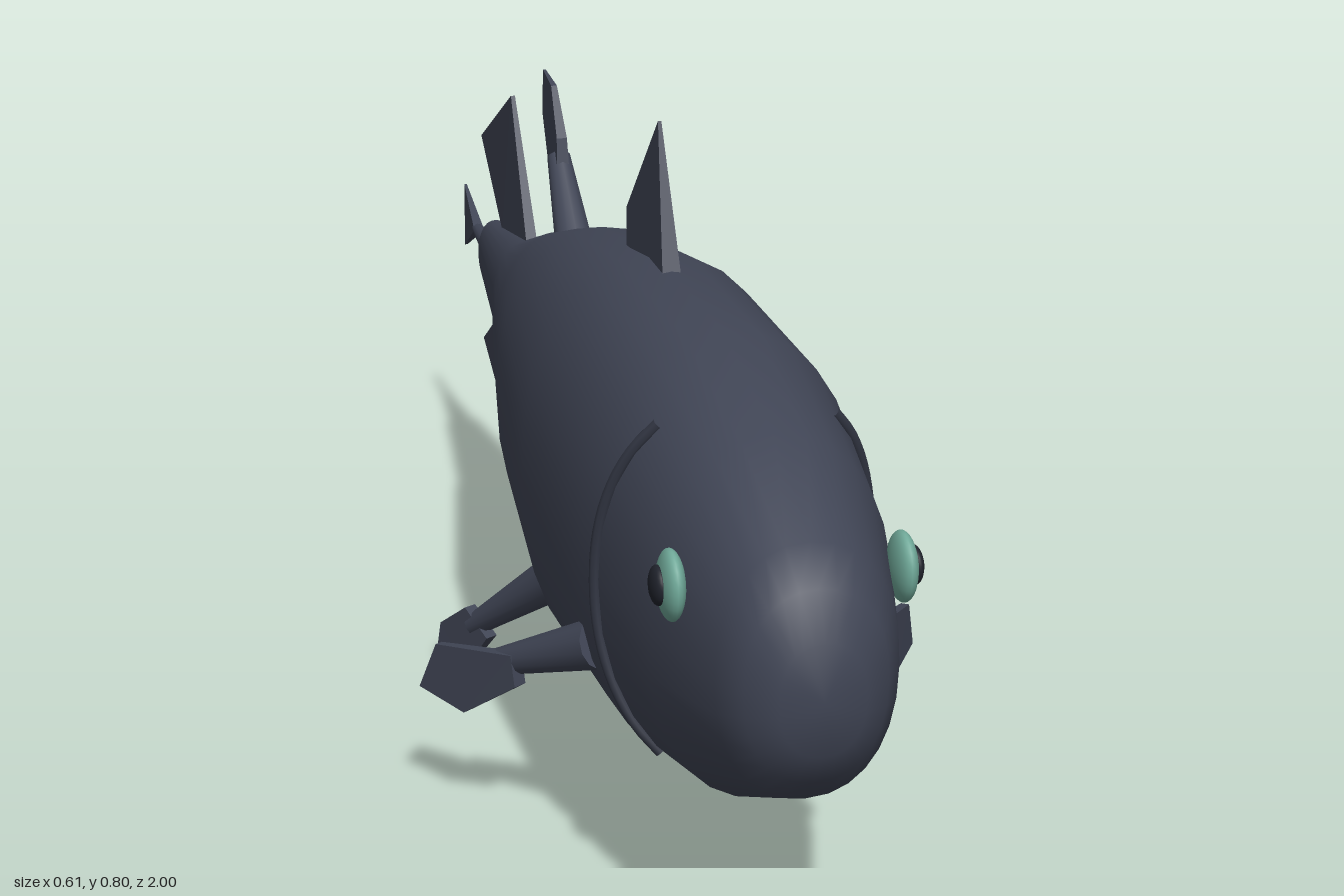
import * as THREE from 'three';

const skin = new THREE.MeshStandardMaterial({ color: 0x404555 });
skin.name = 'slateSkin';
const teal = new THREE.MeshStandardMaterial({ color: 0x6fa898 });
teal.name = 'tealIris';
const dark = new THREE.MeshStandardMaterial({ color: 0x20232c });
dark.name = 'darkPupil';
const groove = new THREE.MeshStandardMaterial({ color: 0x323643 });
groove.name = 'gillSlate';

// Body stations from nose to tail: z, top, bottom, half width
const STATIONS = [
  [0.992, 0.42, 0.3, 0.045], [0.967, 0.468, 0.262, 0.075], [0.935, 0.505, 0.23, 0.096],
  [0.8, 0.573, 0.17, 0.132], [0.6, 0.626, 0.13, 0.16], [0.3, 0.635, 0.115, 0.165],
  [0, 0.597, 0.162, 0.138], [-0.2, 0.545, 0.215, 0.105],
  [-0.46, 0.466, 0.288, 0.058], [-0.74, 0.428, 0.327, 0.027],
];
const SIDES = 28, POWER = 2 / 2.25;

// Half width of the body surface at a given length and height
function surfaceX(z, y) {
  let i = 0;
  while (i < STATIONS.length - 2 && STATIONS[i + 1][0] > z) i++;
  const a = STATIONS[i], b = STATIONS[i + 1], t = (a[0] - z) / (a[0] - b[0]);
  const [top, bottom, half] = [1, 2, 3].map(k => a[k] + (b[k] - a[k]) * t);
  const v = Math.min(1, Math.abs((y - (top + bottom) / 2) / ((top - bottom) / 2)));
  return half * Math.pow(1 - Math.pow(v, 2.25), 1 / 2.25);
}

function bodyGeometry() {
  const pos = [], idx = [];
  const soft = v => Math.sign(v) * Math.pow(Math.abs(v), POWER);
  const ring = ([z, top, bottom, half]) => {
    for (let j = 0; j < SIDES; j++) {
      const a = j / SIDES * Math.PI * 2;
      pos.push(half * soft(Math.cos(a)), (top + bottom) / 2 + (top - bottom) / 2 * soft(Math.sin(a)), z);
    }
  };
  STATIONS.forEach(ring);
  const last = STATIONS[STATIONS.length - 1], capStart = pos.length / 3;
  ring(last); // separate rim keeps the tail end crisp
  const nose = pos.length / 3;
  pos.push(0, 0.36, 0.997, 0, (last[1] + last[2]) / 2, last[0]);
  for (let j = 0; j < SIDES; j++) {
    const k = (j + 1) % SIDES;
    for (let i = 0; i < STATIONS.length - 1; i++) {
      const a = i * SIDES + j, b = i * SIDES + k, c = a + SIDES, d = b + SIDES;
      idx.push(a, c, b, b, c, d);
    }
    idx.push(nose, j, k, nose + 1, capStart + k, capStart + j);
  }
  const g = new THREE.BufferGeometry();
  g.setAttribute('position', new THREE.Float32BufferAttribute(pos, 3));
  g.setIndex(idx);
  g.computeVertexNormals();
  return g;
}

// Convex fin blade from [z, y, half thickness] points in an upright plane.
// x grows by slope for each unit the fin sweeps back from z0; side mirrors it.
function blade(name, points, side = 1, x0 = 0, z0 = 0, slope = 0) {
  const pts = points.slice();
  if (THREE.ShapeUtils.area(pts.map(p => new THREE.Vector2(p[0], p[1]))) > 0) pts.reverse();
  const n = pts.length, len = Math.hypot(1, slope), pos = [], idx = [];
  for (const face of [1, -1]) {
    for (const [z, y, h] of pts) {
      pos.push(side * (x0 + slope * (z0 - z) + face * h / len), y, z + face * h * slope / len);
    }
  }
  const tri = (a, b, c) => (side > 0 ? idx.push(a, b, c) : idx.push(a, c, b));
  for (let i = 1; i < n - 1; i++) {
    tri(0, i, i + 1);
    tri(n, n + i + 1, n + i);
  }
  for (let i = 0; i < n; i++) {
    const j = (i + 1) % n;
    tri(j, i, n + i);
    tri(j, n + i, n + j);
  }
  let g = new THREE.BufferGeometry();
  g.setAttribute('position', new THREE.Float32BufferAttribute(pos, 3));
  g.setIndex(idx);
  g = g.toNonIndexed();
  g.computeVertexNormals();
  const mesh = new THREE.Mesh(g, skin);
  mesh.name = name;
  return mesh;
}

// Tapered fleshy stalk between two points
function stalk(name, from, to, r0, r1) {
  const a = new THREE.Vector3(...from), b = new THREE.Vector3(...to), d = b.clone().sub(a);
  const mesh = new THREE.Mesh(new THREE.CylinderGeometry(r1, r0, d.length(), 12), skin);
  mesh.position.copy(a).add(b).multiplyScalar(0.5);
  mesh.quaternion.setFromUnitVectors(new THREE.Vector3(0, 1, 0), d.normalize());
  mesh.name = name;
  return mesh;
}

function ball(name, material, x, y, z, sx, sy, sz) {
  const mesh = new THREE.Mesh(new THREE.SphereGeometry(1, 20, 14), material);
  mesh.position.set(x, y, z);
  mesh.scale.set(sx, sy, sz);
  mesh.name = name;
  return mesh;
}

export function createModel() {
  const model = new THREE.Group();
  model.name = 'lobeFinnedFish';
  const body = new THREE.Mesh(bodyGeometry(), skin);
  body.name = 'body';
  model.add(body);

  // Fins on the centre line
  model.add(
    blade('firstDorsalFin', [[0.375, 0.61, 0.012], [0.305, 0.797, 0.002], [0.155, 0.66, 0.004], [0.19, 0.6, 0.012]]),
    stalk('secondDorsalStalk', [0, 0.52, -0.155], [0, 0.63, -0.265], 0.027, 0.016),
    blade('secondDorsalBlade', [[-0.235, 0.605, 0.009], [-0.245, 0.66, 0.007], [-0.295, 0.722, 0.004],
      [-0.36, 0.732, 0.002], [-0.36, 0.672, 0.003], [-0.3, 0.61, 0.007]]),
    stalk('analStalk', [0, 0.24, -0.155], [0, 0.132, -0.265], 0.027, 0.016),
    blade('analBlade', [[-0.24, 0.105, 0.007], [-0.28, 0.04, 0.004], [-0.36, 0.022, 0.002],
      [-0.36, 0.09, 0.003], [-0.305, 0.145, 0.007]]),
    blade('upperTailLobe', [[-0.455, 0.46, 0.008], [-0.59, 0.65, 0.003], [-0.835, 0.54, 0.003], [-0.64, 0.435, 0.008]]),
    blade('lowerTailLobe', [[-0.455, 0.292, 0.008], [-0.585, 0.105, 0.003], [-0.835, 0.215, 0.003], [-0.64, 0.315, 0.008]]),
    stalk('tailStalk', [0, 0.38, -0.72], [0, 0.376, -0.9], 0.022, 0.008),
    blade('tailTip', [[-0.88, 0.378, 0.008], [-1, 0.425, 0.002], [-1, 0.325, 0.002]]),
  );

  // Paired parts
  for (const side of [1, -1]) {
    const label = side > 0 ? 'left' : 'right';
    model.add(
      stalk(label + 'PectoralStalk', [side * 0.135, 0.272, 0.585], [side * 0.225, 0.21, 0.465], 0.03, 0.016),
      blade(label + 'PectoralBlade', [[0.505, 0.195, 0.009], [0.5, 0.232, 0.009], [0.4, 0.212, 0.005],
        [0.375, 0.15, 0.002], [0.435, 0.138, 0.004]], side, 0.205, 0.51, 0.72),
      stalk(label + 'PelvicStalk', [side * 0.085, 0.175, 0.12], [side * 0.17, 0.065, -0.01], 0.03, 0.015),
      blade(label + 'PelvicBlade', [[0.025, 0.06, 0.009], [-0.01, 0.092, 0.009], [-0.055, 0.055, 0.005],
        [-0.066, 0.002, 0.002], [-0.015, 0.002, 0.004]], side, 0.155, 0.022, 0.63),
    );

    // Eye bulging from the side of the head
    const eye = new THREE.Group();
    eye.name = label + 'Eye';
    eye.add(
      ball('iris', teal, side * 0.122, 0.442, 0.858, 0.014, 0.038, 0.034),
      ball('pupil', dark, side * 0.135, 0.442, 0.856, 0.009, 0.021, 0.021),
    );
    model.add(eye);

    // Gill ridge hugging the flank
    const arc = [];
    for (let i = 0; i <= 14; i++) {
      const t = i / 7 - 1, y = 0.372 + t * 0.187, z = 0.652 + 0.043 * t * t;
      arc.push(new THREE.Vector3(side * (surfaceX(z, y) + 0.001), y, z));
    }
    const gill = new THREE.Mesh(
      new THREE.TubeGeometry(new THREE.CatmullRomCurve3(arc), 28, 0.007, 8), groove);
    gill.name = label + 'GillRidge';
    model.add(gill);
  }
  return model;
}
